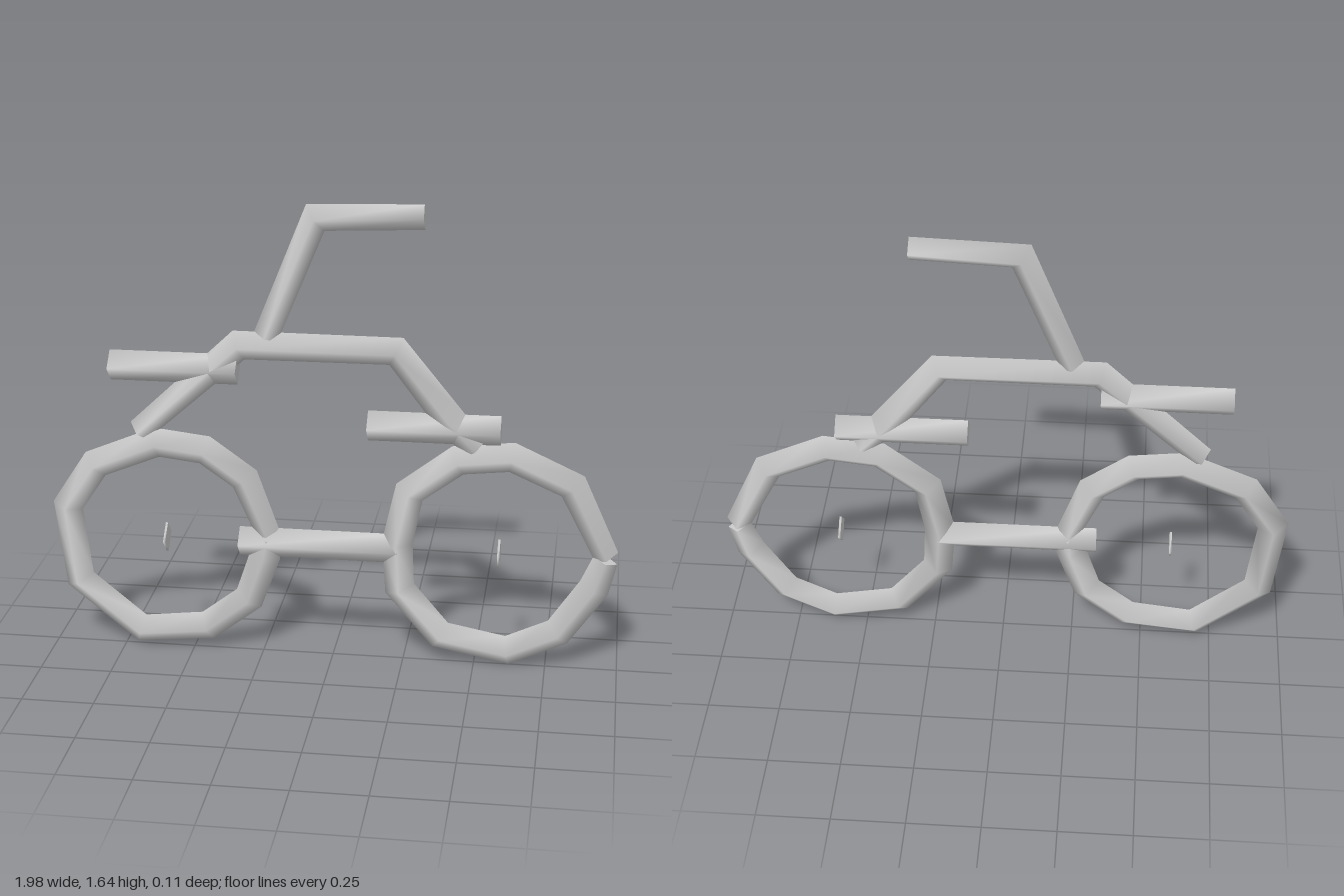
import * as THREE from 'three';

const RADIUS = 0.054;

// Four-sided bar swept along points in the xy plane; its corners point in-plane and along z.
function sweep(name, points, material, endScale = 1) {
  const pts = points.map(([x, y]) => new THREE.Vector2(x, y));
  const last = pts.length - 1;
  const positions = [];
  const index = [];
  const addRing = (i) => {
    const before = pts[Math.max(i - 1, 0)];
    const after = pts[Math.min(i + 1, last)];
    const incoming = pts[i].clone().sub(before).normalize();
    const outgoing = after.clone().sub(pts[i]).normalize();
    const t = incoming.add(outgoing).normalize();
    const r = RADIUS * (i === 0 || i === last ? endScale : 1);
    const { x, y } = pts[i];
    positions.push(
      x - t.y * r, y + t.x * r, 0,
      x, y, r,
      x + t.y * r, y - t.x * r, 0,
      x, y, -r
    );
  };
  pts.forEach((_, i) => addRing(i));
  for (let i = 0; i < last; i++) {
    for (let k = 0; k < 4; k++) {
      const a = i * 4 + k;
      const b = i * 4 + (k + 1) % 4;
      index.push(a, b, a + 4, b, b + 4, a + 4);
    }
  }
  // Separate cap corners keep the ends sharp
  const start = positions.length / 3;
  addRing(0);
  addRing(last);
  index.push(start, start + 2, start + 1, start, start + 3, start + 2);
  index.push(start + 4, start + 5, start + 6, start + 4, start + 6, start + 7);

  const geometry = new THREE.BufferGeometry();
  geometry.setAttribute('position', new THREE.Float32BufferAttribute(positions, 3));
  geometry.setIndex(index);
  geometry.computeVertexNormals();
  const mesh = new THREE.Mesh(geometry, material);
  mesh.name = name;
  return mesh;
}

export function createModel() {
  const group = new THREE.Group();
  group.name = 'bicycle';
  const grey = new THREE.MeshStandardMaterial({ color: 0xcccccc });
  grey.name = 'lightGrey';
  const TAPER = 0.8;

  // Uneven hand-bent wheels, each with a small seam at its +x side
  group.add(sweep('rearWheel', [
    [-0.23, 0.45], [-0.31, 0.65], [-0.45, 0.75], [-0.62, 0.77], [-0.84, 0.68], [-0.945, 0.52],
    [-0.91, 0.24], [-0.69, 0.06], [-0.45, 0.085], [-0.30, 0.20], [-0.24, 0.37], [-0.23, 0.435],
  ], grey, TAPER));
  group.add(sweep('frontWheel', [
    [0.948, 0.427], [0.825, 0.68], [0.615, 0.775], [0.43, 0.755], [0.265, 0.63], [0.225, 0.44],
    [0.235, 0.27], [0.38, 0.10], [0.615, 0.055], [0.79, 0.135], [0.91, 0.31], [0.945, 0.415],
  ], grey, TAPER));

  // Bent frame and handlebar
  group.add(sweep('frame', [
    [-0.68, 0.81], [-0.325, 1.135], [0.215, 1.135], [0.40, 0.90], [0.49, 0.80],
  ], grey, TAPER));
  group.add(sweep('handlebar', [[-0.23, 1.17], [-0.06, 1.587], [0.305, 1.60]], grey, TAPER));

  // Straight bars and thin hubs: name, x start, x end, height
  const bars = [
    ['seat', -0.775, -0.33, 1.047],
    ['frontBar', 0.12, 0.575, 0.867],
    ['lowerBar', -0.33, 0.23, 0.418],
    ['rearHub', -0.595, -0.587, 0.418],
    ['frontHub', 0.575, 0.583, 0.418],
  ];
  for (const [name, x0, x1, y] of bars) {
    group.add(sweep(name, [[x0, y], [x1, y]], grey));
  }
  return group;
}
